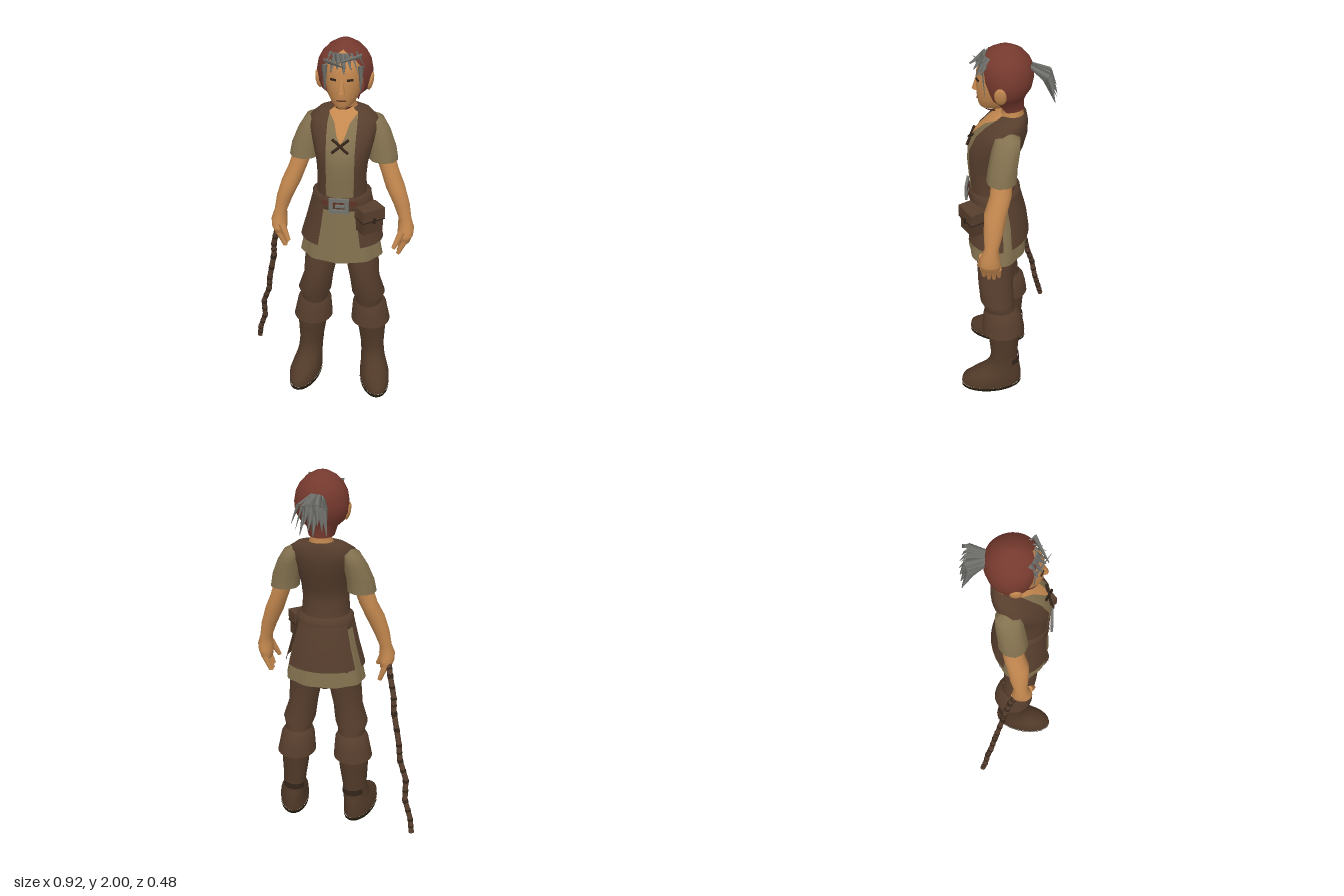
import * as THREE from 'three';

const mat = (name, color, side = THREE.FrontSide) => {
  const m = new THREE.MeshStandardMaterial({ color, side });
  m.name = name;
  return m;
};

export function createModel() {
  const D = THREE.DoubleSide;
  const skin = mat('skin', 0xc4884f, D), hair = mat('red hair', 0x75392e, D), grey = mat('grey feather', 0x73736f, D);
  const linen = mat('linen', 0x83714f, D), brown = mat('brown cloth', 0x573e2d, D), leather = mat('boot leather', 0x503928, D);
  const dark = mat('dark leather', 0x33241a, D), sole = mat('sole', 0x2c2512), strap = mat('red strap', 0x5f3325, D);

  const root = new THREE.Group();
  const body = new THREE.Group();
  body.name = 'body';
  body.position.x = 0.08;
  root.add(body);

  const add = (name, geo, m, parent = body) => {
    const mesh = new THREE.Mesh(geo, m);
    mesh.name = name;
    parent.add(mesh);
    return mesh;
  };

  // Skin over horizontal rings [y, centre x, half width, front z, back z, opening], bottom to top.
  // Angle 0 faces the front; range(ring) gives the arc covered, default full circle.
  function loft(name, rings, m, { range, n = 24, grow = 0, fold = 0, shear = 0 } = {}) {
    const pos = [], idx = [], cols = range ? n + 1 : n;
    for (const r of rings) {
      const [y, cx, rx, f, b] = r;
      const [a0, a1] = range ? range(r) : [0, Math.PI * 2];
      for (let i = 0; i < cols; i++) {
        const t = a0 + (a1 - a0) * i / n;
        const k = 1 + fold * Math.cos(9 * t);
        const z = (f + b) / 2 + ((f - b) / 2 + grow) * k * Math.cos(t);
        pos.push(cx + (rx + grow) * k * Math.sin(t) + shear * z, y, z);
      }
    }
    for (let k = 0; k < rings.length - 1; k++) {
      for (let i = 0; i < n; i++) {
        const j = range ? i + 1 : (i + 1) % n;
        const a = k * cols + i, b = k * cols + j;
        idx.push(a, b, b + cols, a, b + cols, a + cols);
      }
    }
    const g = new THREE.BufferGeometry();
    g.setAttribute('position', new THREE.Float32BufferAttribute(pos, 3));
    g.setIndex(idx);
    g.computeVertexNormals();
    return add(name, g, m);
  }

  // Round bar between two points, tapering from r0 to r1; flat squashes it to a blade.
  const UP = new THREE.Vector3(0, 1, 0);
  function rod(name, a, b, r0, r1, m, parent = body, flat = 1) {
    const A = new THREE.Vector3(...a), B = new THREE.Vector3(...b), d = B.clone().sub(A);
    const g = new THREE.CylinderGeometry(r1, r0, d.length(), flat < 1 ? 4 : 8);
    g.scale(1, 1, flat);
    const mesh = add(name, g, m, parent);
    mesh.position.copy(A).add(B).multiplyScalar(0.5);
    mesh.quaternion.setFromUnitVectors(UP, d.normalize());
    return mesh;
  }
  const around = r => [r[5], Math.PI * 2 - r[5]];
  const middle = r => [-r[5], r[5]];
  const arc = (a, b) => () => [a, b];

  // Torso: vest with a linen front panel
  const torso = [
    [1.22, 0, 0.125, 0.18, -0.05, 0.55], [1.32, 0, 0.118, 0.188, -0.03, 0.62], [1.40, 0, 0.124, 0.193, -0.045, 0.6],
    [1.48, 0, 0.143, 0.187, -0.08, 0.52], [1.56, 0, 0.163, 0.145, -0.1, 0.46], [1.61, 0, 0.165, 0.095, -0.1, 0.46],
    [1.645, 0, 0.12, 0.05, -0.095, 0.6], [1.66, 0, 0.06, 0.02, -0.085, 0.7],
  ];
  loft('vest', torso, brown, { range: around, n: 32, grow: 0.004 });
  loft('shirtFront', torso, linen, { range: middle, n: 12 });
  loft('neckline', [[1.53, 0, 0.156, 0.162, -0.093, 0.02], [1.56, 0, 0.163, 0.145, -0.1, 0.12], [1.61, 0, 0.165, 0.095, -0.1, 0.22],
    [1.645, 0, 0.12, 0.05, -0.095, 0.6], [1.66, 0, 0.06, 0.02, -0.085, 1]], skin, { range: middle, n: 8, grow: 0.005 });
  for (const s of [-1, 1]) {
    rod('lace', [-0.04 * s, 1.49, 0.187], [0.04 * s, 1.55, 0.158], 0.007, 0.007, dark);
  }

  // Skirt, hips, hanging flaps and belt
  const skirt = [[0.865, 0, 0.215, 0.195, -0.105], [0.95, 0, 0.198, 0.19, -0.1], [1.08, 0, 0.165, 0.18, -0.085], [1.22, 0, 0.125, 0.17, -0.05]];
  loft('skirt', skirt, linen, { n: 54, fold: 0.025 });
  loft('hips', [[0.8, 0, 0.03, 0.06, 0.0], [0.86, 0, 0.15, 0.12, -0.06], [0.98, 0, 0.17, 0.13, -0.07]], brown);
  const flap = [[0.96, 0, 0.198, 0.19, -0.1], [1.08, 0, 0.165, 0.18, -0.085], [1.2, 0, 0.135, 0.175, -0.055]];
  loft('backFlap', flap, brown, { range: arc(2.15, 4.13), n: 12, grow: 0.018 });
  for (const s of [-1, 1]) {
    loft('sideFlap', flap, brown, { range: arc(s * 1.2 - 0.67, s * 1.2 + 0.67), n: 10, grow: 0.018 });
  }
  loft('belt', [[1.165, 0, 0.142, 0.182, -0.065], [1.18, 0, 0.155, 0.19, -0.075], [1.23, 0, 0.15, 0.19, -0.07], [1.245, 0, 0.122, 0.18, -0.045]], brown);
  loft('beltStripe', [[1.2, 0, 0.157, 0.195, -0.077], [1.225, 0, 0.154, 0.195, -0.074]], strap, { range: arc(-0.6, 0.6), n: 10 });
  const frame = new THREE.Shape([[-0.05, -0.04], [0.05, -0.04], [0.05, 0.04], [-0.05, 0.04]].map(p => new THREE.Vector2(...p)));
  frame.holes.push(new THREE.Path([[-0.03, -0.022], [-0.03, 0.022], [0.03, 0.022], [0.03, -0.022]].map(p => new THREE.Vector2(...p))));
  const buckle = add('buckle', new THREE.ExtrudeGeometry(frame, { depth: 0.012, bevelEnabled: false }), grey);
  buckle.position.set(0, 1.208, 0.194);
  add('bucklePin', new THREE.BoxGeometry(0.045, 0.012, 0.012), grey).position.set(0.005, 1.208, 0.202);

  // Belt pouch on the left hip
  const pouch = new THREE.Group();
  pouch.name = 'pouch';
  pouch.position.set(0.15, 1.12, 0.155);
  pouch.rotation.y = 0.65;
  body.add(pouch);
  add('pouchBody', new THREE.BoxGeometry(0.115, 0.125, 0.075), leather, pouch);
  add('pouchLid', new THREE.BoxGeometry(0.125, 0.06, 0.09), brown, pouch).position.y = 0.042;
  add('pouchSeam', new THREE.BoxGeometry(0.126, 0.007, 0.092), dark, pouch).position.y = 0.01;
  add('pouchStud', new THREE.BoxGeometry(0.016, 0.03, 0.008), dark, pouch).position.set(0, 0.012, 0.046);

  // Arms and legs
  for (const s of [-1, 1]) {
    const side = rows => rows.map(([y, x, ...rest]) => [y, s * x, ...rest]);
    loft('sleeve', side([[1.395, 0.2, 0.074, 0.078, -0.068], [1.46, 0.192, 0.07, 0.07, -0.07], [1.54, 0.168, 0.062, 0.055, -0.08],
      [1.6, 0.148, 0.045, 0.04, -0.08], [1.635, 0.125, 0.0, -0.02, -0.02]]), linen, { fold: 0.02, n: 27 });
    loft('arm', side([[0.985, 0.332, 0.04, 0.108, 0.0], [1.03, 0.333, 0.042, 0.1, 0.005], [1.08, 0.325, 0.033, 0.08, 0.01], [1.16, 0.303, 0.042, 0.085, -0.01],
      [1.25, 0.268, 0.05, 0.085, -0.025], [1.33, 0.235, 0.047, 0.06, -0.045], [1.45, 0.195, 0.05, 0.05, -0.05]]), skin, { n: 16 });
    // Palm and fingers
    loft('palm', side([[0.935, 0.325, 0.01, 0.085, 0.015], [0.95, 0.328, 0.03, 0.1, 0.003], [0.99, 0.332, 0.04, 0.108, 0.0]]), skin, { n: 16 });
    for (let i = 0; i < 4; i++) {
      const z = 0.013 + i * 0.025, tip = 0.885 - (i === 1 || i === 2 ? 0.015 : 0);
      rod('finger', [s * 0.33, 0.96, z], [s * 0.3, tip, z], 0.017, 0.01, skin);
    }
    rod('thumb', [s * 0.315, 1.02, 0.09], [s * 0.275, 0.93, 0.115], 0.02, 0.011, skin);

    loft('trouserLeg', side([[0.5, 0.152, 0.07, 0.1, -0.06], [0.56, 0.15, 0.076, 0.11, -0.055], [0.6, 0.148, 0.09, 0.128, -0.052], [0.7, 0.126, 0.08, 0.14, -0.045],
      [0.82, 0.11, 0.088, 0.145, -0.055], [0.95, 0.095, 0.088, 0.13, -0.07]]), brown);
    loft('bootCuff', side([[0.395, 0.162, 0.108, 0.12, -0.105], [0.45, 0.158, 0.1, 0.117, -0.098], [0.51, 0.154, 0.092, 0.11, -0.085], [0.54, 0.152, 0.074, 0.1, -0.06]]), brown);
    loft('boot', side([[0.02, 0.19, 0.084, 0.238, -0.096], [0.06, 0.19, 0.083, 0.232, -0.096], [0.09, 0.188, 0.076, 0.185, -0.094], [0.12, 0.184, 0.07, 0.125, -0.09],
      [0.16, 0.18, 0.066, 0.085, -0.08], [0.22, 0.176, 0.066, 0.07, -0.075], [0.32, 0.17, 0.076, 0.08, -0.082], [0.43, 0.165, 0.085, 0.09, -0.085]]), leather, { shear: 0.14 * s });
    loft('ankleStrap', side([[0.165, 0.18, 0.069, 0.086, -0.083], [0.2, 0.177, 0.069, 0.075, -0.08]]), dark, { shear: 0.14 * s, range: arc(2.2, 4.08), grow: 0.003 });
    loft('sole', side([[0, 0.19, 0, 0.07, 0.07], [0.001, 0.19, 0.084, 0.238, -0.096], [0.022, 0.19, 0.086, 0.241, -0.099]]), sole, { shear: 0.14 * s });
  }

  // Neck and head
  loft('neck', [[1.6, 0, 0.075, 0.06, -0.09], [1.65, 0, 0.065, 0.025, -0.085], [1.68, 0, 0.05, 0.02, -0.08], [1.75, 0, 0.055, 0.04, -0.08]], skin);
  loft('face', [[1.683, 0, 0, 0.07, 0.07], [1.69, 0, 0.035, 0.122, 0.0], [1.71, 0, 0.056, 0.132, -0.03], [1.75, 0, 0.078, 0.138, -0.06], [1.8, 0, 0.09, 0.14, -0.08],
    [1.87, 0, 0.096, 0.138, -0.09], [1.92, 0, 0.085, 0.118, -0.08], [1.97, 0, 0.04, 0.05, -0.04]], skin);
  rod('nose', [0, 1.775, 0.143], [0, 1.845, 0.132], 0.018, 0.006, skin);
  add('mouth', new THREE.BoxGeometry(0.045, 0.006, 0.008), strap).position.set(0, 1.738, 0.133);
  for (const s of [-1, 1]) {
    const eye = add('eye', new THREE.BoxGeometry(0.03, 0.01, 0.006), dark);
    eye.position.set(s * 0.04, 1.84, 0.129);
    eye.rotation.y = s * 0.4;
    const ear = add('ear', new THREE.SphereGeometry(1, 12, 8), skin);
    ear.scale.set(0.014, 0.045, 0.03);
    ear.position.set(s * 0.125, 1.8, 0.015);
    ear.rotation.z = -s * 0.2;
    rod('sideStrand', [s * 0.085, 1.9, 0.1], [s * 0.085, 1.77, 0.09], 0.014, 0.002, grey, body, 0.3);
  }
  loft('hair', [[1.685, 0, 0.065, 0.06, -0.085, 1.5], [1.73, 0, 0.078, 0.08, -0.085, 1.2], [1.76, 0, 0.112, 0.095, -0.095, 1.0], [1.8, 0, 0.13, 0.11, -0.12, 0.9],
    [1.85, 0, 0.135, 0.12, -0.13, 0.75], [1.9, 0, 0.126, 0.125, -0.125, 0.72], [1.935, 0, 0.108, 0.115, -0.11, 0.5], [1.97, 0, 0.075, 0.085, -0.08, 0.001],
    [1.992, 0, 0.035, 0.045, -0.04, 0.001], [2, 0, 0, 0, 0, 0.001]], hair, { range: around, n: 32 });
  loft('chinBand', [[1.682, 0, 0.04, 0.1, -0.02], [1.7, 0, 0.056, 0.122, -0.03]], hair, { range: arc(-1.5, 1.5), grow: 0.004 });

  // Ragged grey fringe and feathery tail
  for (let i = 0; i < 7; i++) {
    const u = i / 3 - 1;
    rod('fringe', [u * 0.06, 1.955, 0.1 - 0.03 * u * u], [u * 0.095 + 0.012, 1.895 - 0.02 * (i % 2), 0.148 - 0.04 * u * u], 0.02, 0.003, grey, body, 0.25);
  }
  rod('fringeSweep', [-0.085, 1.92, 0.1], [0.02, 1.91, 0.165], 0.018, 0.003, grey, body, 0.3);
  rod('fringeSweep', [0.085, 1.945, 0.09], [-0.03, 1.925, 0.155], 0.018, 0.003, grey, body, 0.3);
  for (let i = 0; i < 9; i++) {
    const u = i / 4 - 1, x = u * 0.085 + 0.015, k = i % 3;
    const mid = [x * 0.7, 1.86 + 0.01 * k, -0.185 - 0.008 * k];
    rod('tailRoot', [u * 0.02, 1.915, -0.1], mid, 0.012, 0.022, grey, body, 0.3);
    rod('tailTip', mid, [x, 1.745 + 0.025 * k, -0.24 + 0.015 * Math.abs(u)], 0.022, 0.002, grey, body, 0.3);
  }

  // Crooked walking stick in the right hand, ringed with dark bands
  const stick = new THREE.Group();
  stick.name = 'walkingStick';
  root.add(stick);
  const path = [[-0.265, 0.99, 0.03], [-0.28, 0.93, -0.005], [-0.308, 0.81, -0.035], [-0.312, 0.73, -0.045], [-0.35, 0.55, -0.08], [-0.36, 0.46, -0.095],
    [-0.4, 0.35, -0.12], [-0.402, 0.23, -0.14], [-0.438, 0.12, -0.16], [-0.45, 0.04, -0.178]];
  for (let i = 0; i < path.length - 1; i++) {
    const at = t => path[i].map((v, k) => v + (path[i + 1][k] - v) * t);
    rod('stickSegment', path[i], path[i + 1], 0.015, 0.015, brown, stick);
    rod('stickBand', at(0), at(0.15), 0.017, 0.017, dark, stick);
    rod('stickBand', at(0.5), at(0.62), 0.0165, 0.0165, dark, stick);
  }
  return root;
}
